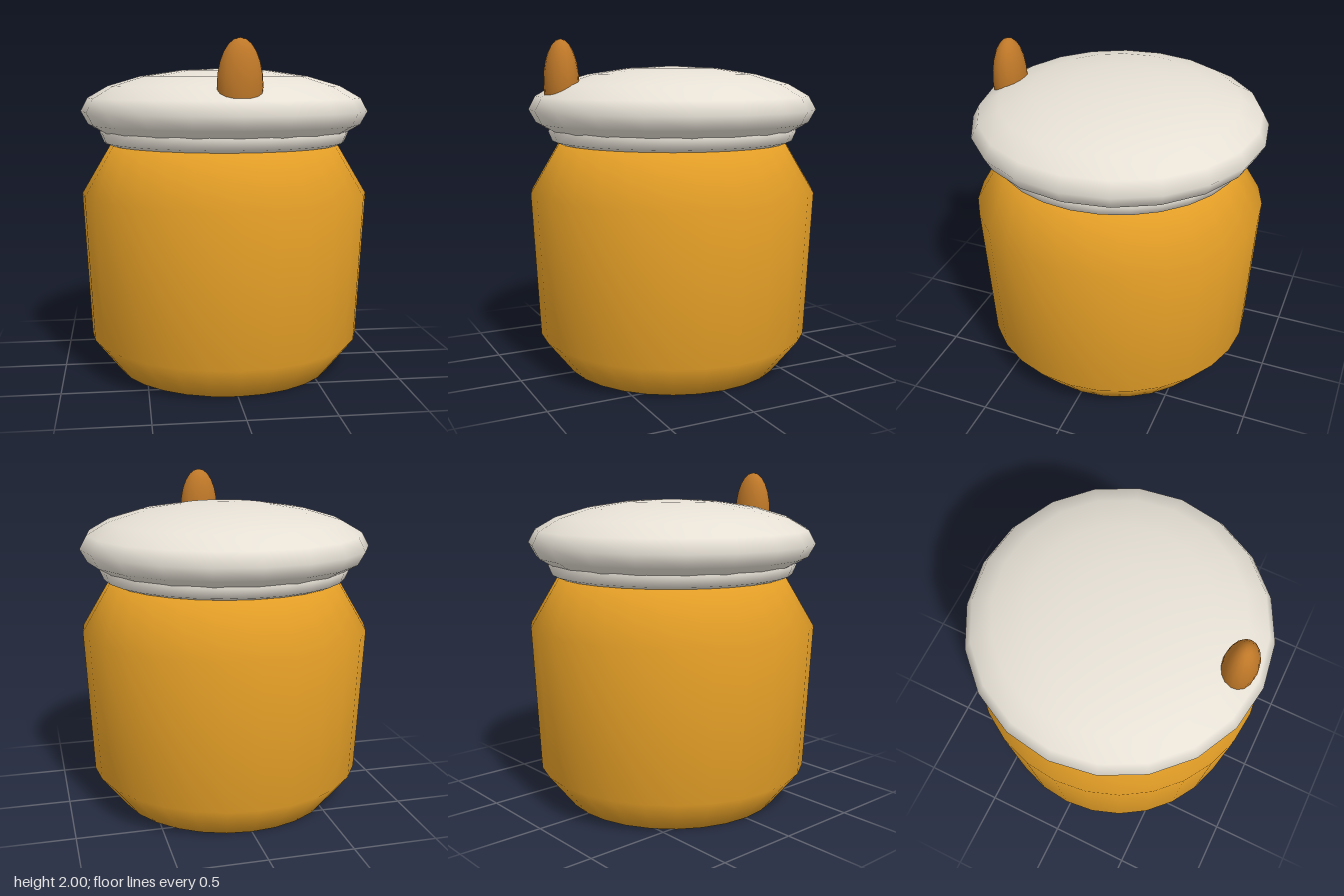
import * as THREE from 'three';

export function createModel() {
  const group = new THREE.Group();
  const material = (name, color) => {
    const m = new THREE.MeshStandardMaterial({ color });
    m.name = name;
    return m;
  };
  const honey = material('honey yellow', 0xe6a027);
  const cream = material('cream white', 0xe6e0d5);
  const brown = material('warm brown', 0xbf7828);

  const add = (name, geometry, mat, y, z = 0) => {
    const mesh = new THREE.Mesh(geometry, mat);
    mesh.name = name;
    mesh.position.set(0, y, z);
    group.add(mesh);
    return mesh;
  };

  // Jar body: chamfered foot, slightly flared wall, sloping shoulder
  const profile = [[0, 0], [0.665, 0], [0.83, 0.21], [0.873, 1.09], [0.665, 1.44], [0, 1.44]]
    .map(([r, y]) => new THREE.Vector2(r, y));
  add('jarBody', new THREE.LatheGeometry(profile, 28), honey, 0);

  // Rolled rim under the lid
  add('rim', new THREE.TorusGeometry(0.68, 0.08, 8, 28).rotateX(Math.PI / 2), cream, 1.46);

  // Flattened dome lid
  add('lid', new THREE.SphereGeometry(1, 20, 10).scale(0.873, 0.256, 0.873), cream, 1.59);

  // Small upright knob at the front edge of the lid
  add('knob', new THREE.SphereGeometry(1, 16, 12).scale(0.125, 0.25, 0.1), brown, 1.75, 0.71);

  return group;
}
